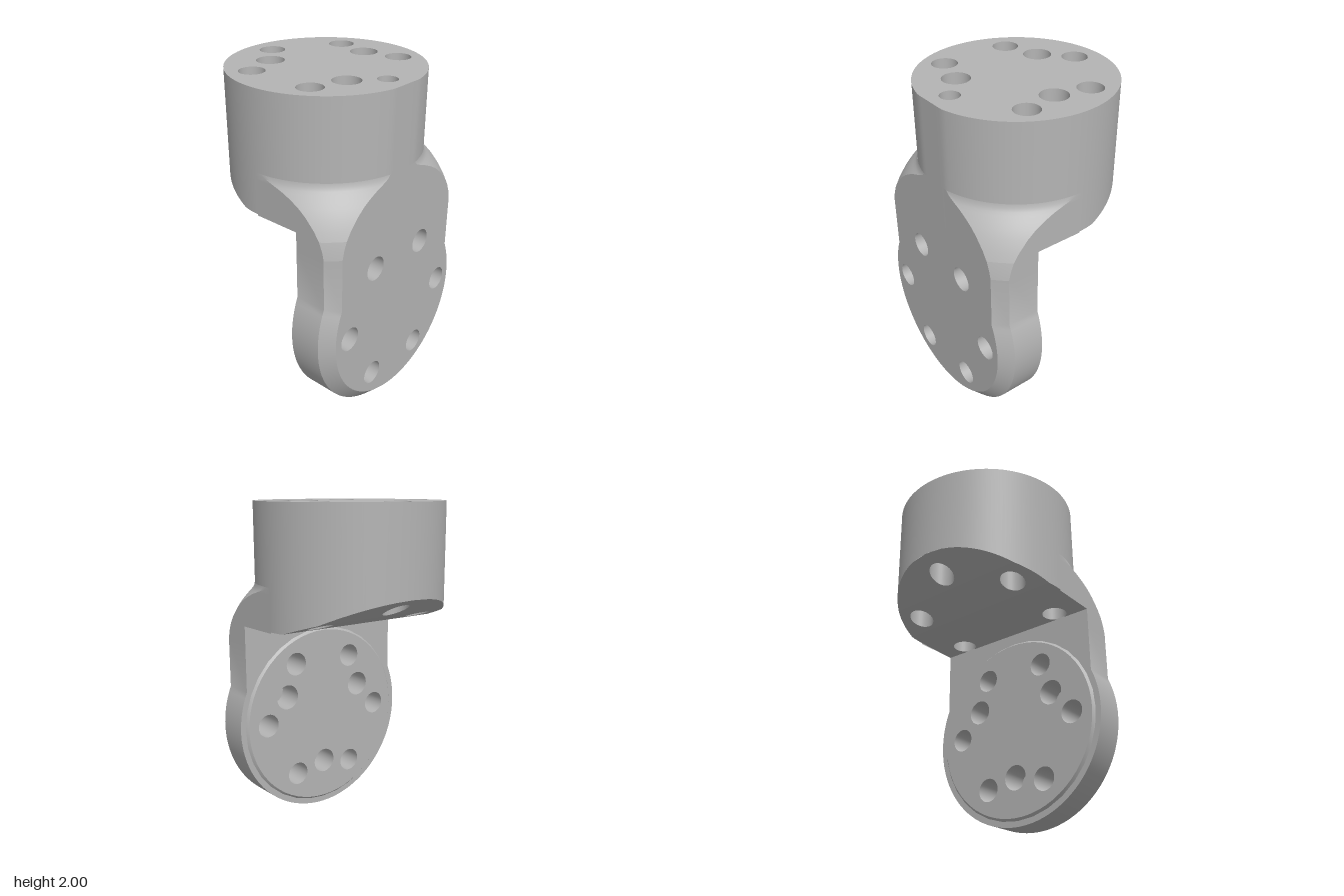
import * as THREE from 'three';
import { toCreasedNormals } from 'three/addons/utils/BufferGeometryUtils.js';

const R = 0.565;                 // head radius and half width of the neck
const FLAT = 0.555;              // outer face of the plate
const IN = 0.29, DISC = 0.275;   // inner face of the plate and of its raised disc
const CY = 0.62;                 // centre height of the round plate end

// quad surface between rows of points
function loft(rows, closed = false, flip = false) {
  const n = rows[0].length, pos = rows.flat(2), index = [];
  for (let i = 0; i < rows.length - 1; i++) {
    for (let j = 0; j < (closed ? n : n - 1); j++) {
      const k = (j + 1) % n;
      const a = i * n + j, b = i * n + k, c = a + n, d = b + n;
      if (flip) index.push(a, d, b, a, c, d);
      else index.push(a, b, d, a, d, c);
    }
  }
  const g = new THREE.BufferGeometry();
  g.setAttribute('position', new THREE.Float32BufferAttribute(pos, 3));
  g.setIndex(index);
  return toCreasedNormals(g, 0.5);
}

function circle(fn, n = 32) {
  return Array.from({ length: n }, (_, i) => {
    const t = (i / n) * Math.PI * 2;
    return fn(Math.cos(t), Math.sin(t));
  });
}
const ringY = (x, z, r, y) => circle((c, s) => [x + r * c, typeof y === 'function' ? y(x + r * c) : y, z + r * s]);
const ringX = (z, y, r, x) => circle((c, s) => [x, y + r * c, z + r * s]);

// flat shape with round holes [x, y, radius]
function sheet(points, holes) {
  const shape = new THREE.Shape(points.map(p => new THREE.Vector2(p[0], p[1])));
  for (const [x, y, r] of holes) {
    const path = new THREE.Path();
    path.absarc(x, y, r, 0, Math.PI * 2, true);
    shape.holes.push(path);
  }
  return new THREE.ShapeGeometry(shape, 16);
}

// sloping underside of the head
const BREAKS = [[-R, 1.475], [-0.32, 1.35], [-0.1, 1.28], [0.3, 1.27]];
function under(x) {
  for (let i = 0; i < 3; i++) {
    const [x0, y0] = BREAKS[i], [x1, y1] = BREAKS[i + 1];
    if (x <= x1) return y0 + (y1 - y0) * (x - x0) / (x1 - x0);
  }
  return 1.27;
}

// half outline of the plate: straight neck, round end, straight neck
function outline(r, w, top) {
  const a = Math.acos(w / r), pts = [[w, top]];
  for (let i = 0; i <= 64; i++) {
    const t = a - (i / 64) * (Math.PI + 2 * a);
    pts.push([r * Math.cos(t), CY + r * Math.sin(t)]);
  }
  pts.push([-w, top]);
  return pts;
}

export function createModel() {
  const model = new THREE.Group();
  const grey = new THREE.MeshStandardMaterial({ color: 0xb4b4b4, side: THREE.DoubleSide });
  grey.name = 'plain grey';
  const add = (parent, name, geometry) => {
    const mesh = new THREE.Mesh(geometry, grey);
    mesh.name = name;
    parent.add(mesh);
  };
  const group = name => {
    const g = new THREE.Group();
    g.name = name;
    model.add(g);
    return g;
  };

  // round head
  const head = group('head');
  const through = [[-0.42, 0], [-0.205, 0.37], [-0.205, -0.37], [0.22, 0.37], [0.22, -0.37]].map(p => [...p, 0.075]);
  const blind = [[0.005, -0.325], [-0.275, 0.16], [0.285, 0.16]].map(p => [...p, 0.081]);
  const pilot = [0.43, 0, 0.057];
  const rim = circle((c, s) => [Math.min(FLAT, R * c), R * s], 128);
  add(head, 'headWall', loft([
    rim.map(([x, z]) => [x, 2, z]),
    rim.map(([x, z]) => [x, under(x), z]),
  ], true));
  const topHoles = [...through, ...blind, pilot].map(([x, z, r]) => [x, -z, r]);
  add(head, 'headTop', sheet(rim.map(([x, z]) => [x, -z]), topHoles).rotateX(-Math.PI / 2).translate(0, 2, 0));

  // underside in three slabs, each with its own slope
  for (let i = 0; i < 3; i++) {
    const x0 = BREAKS[i][0], x1 = BREAKS[i + 1][0], side = [];
    for (let k = 0; k <= 20; k++) {
      const x = x0 + (x1 - x0) * k / 20;
      side.push([x, x < 0 ? Math.sqrt(Math.max(0.000001, R * R - x * x)) : R]);
    }
    const points = [...side, ...side.map(([x, z]) => [x, -z]).reverse()];
    const g = sheet(points, through.filter(h => h[0] > x0 && h[0] < x1)).rotateX(Math.PI / 2);
    const p = g.attributes.position;
    for (let k = 0; k < p.count; k++) p.setY(k, under(p.getX(k)));
    g.computeVertexNormals();
    add(head, 'headUnderside', g);
  }

  // bores in the head
  for (const [x, z, r] of through) add(head, 'throughBore', loft([ringY(x, z, r, under), ringY(x, z, r, 2)], true));
  for (const [x, z, r] of blind) {
    add(head, 'blindBore', loft([ringY(x, z, 0, 1.6), ringY(x, z, r, 1.6), ringY(x, z, r, 2)], true));
  }
  const [px, pz, pr] = pilot;
  add(head, 'pilotBore', loft([ringY(px, pz, 0, 1.72), ringY(px, pz, pr, 1.76), ringY(px, pz, pr, 2)], true));

  // flared shoulders between head and plate: [height, radius]
  const flare = [[1.17, 0.745], [1.22, 0.737], [1.27, 0.724], [1.32, 0.703], [1.38, 0.67], [1.42, 0.643],
    [1.45, 0.618], [1.475, 0.596], [1.49, 0.582], [1.51, 0.57], [1.53, 0.566]];
  const faceHalf = r => Math.sqrt(r * r - FLAT * FLAT);
  const neck = group('neck');
  for (const s of [1, -1]) {
    const row = (y, r, xin) => {
      const a0 = Math.asin(R / r), a1 = Math.acos(FLAT / r), pts = [[xin, y, s * R]];
      for (let i = 0; i <= 20; i++) {
        const t = a0 + (a1 - a0) * i / 20;
        pts.push([r * Math.cos(t), y, s * r * Math.sin(t)]);
      }
      return pts;
    };
    add(neck, 'lowerShoulder', loft(flare.slice(0, 3).map(([y, r]) => row(y, r, IN)), false, s < 0));
    add(neck, 'upperShoulder', loft(flare.slice(2).map(([y, r]) => row(y, r, 0)), false, s < 0));
  }

  // upright mounting plate with a chamfered outer edge
  const plate = group('plate');
  const outer = outline(0.615, R, 1.17), inset = outline(0.545, 0.496, 1.17);
  const at = (pts, x) => pts.map(([z, y]) => [x, y, z]);
  add(plate, 'plateEdge', loft([at(outer, IN), at(outer, 0.485)]));
  add(plate, 'plateChamfer', loft([at(outer, 0.485), at(inset, FLAT)]));

  const bolts = [];
  for (const s of [1, -1]) bolts.push([s * 0.21, 0.99, 0.073], [s * 0.425, 0.625, 0.073], [s * 0.21, 0.257, 0.073]);
  const pockets = [[0.28, 0.785, 0.078], [-0.28, 0.785, 0.078], [0, 0.3, 0.078]];
  const upper = flare.slice(1).map(([y, r]) => [faceHalf(r), y]);
  const facePoints = [...inset, ...upper.map(([z, y]) => [-z, y]), ...upper.slice().reverse()];
  add(plate, 'outerFace', sheet(facePoints, bolts).rotateY(Math.PI / 2).translate(FLAT, 0, 0));
  add(plate, 'innerFace', sheet(outline(0.615, R, 1.275), [[0, CY, 0.58]]).rotateY(-Math.PI / 2).translate(IN, 0, 0));

  // raised disc on the inner side
  const discPoints = circle((c, s) => [0.565 * c, CY + 0.565 * s], 64);
  add(plate, 'discFace', sheet(discPoints, [...bolts, ...pockets]).rotateY(-Math.PI / 2).translate(DISC, 0, 0));
  add(plate, 'discRim', loft([ringX(0, CY, 0.565, DISC), ringX(0, CY, 0.58, IN)], true));

  // bores in the plate
  for (const [z, y, r] of bolts) add(plate, 'boltBore', loft([ringX(z, y, r, FLAT), ringX(z, y, r, DISC)], true));
  for (const [z, y, r] of pockets) {
    add(plate, 'pocket', loft([ringX(z, y, 0, 0.45), ringX(z, y, r, 0.45), ringX(z, y, r, DISC)], true));
  }
  return model;
}
